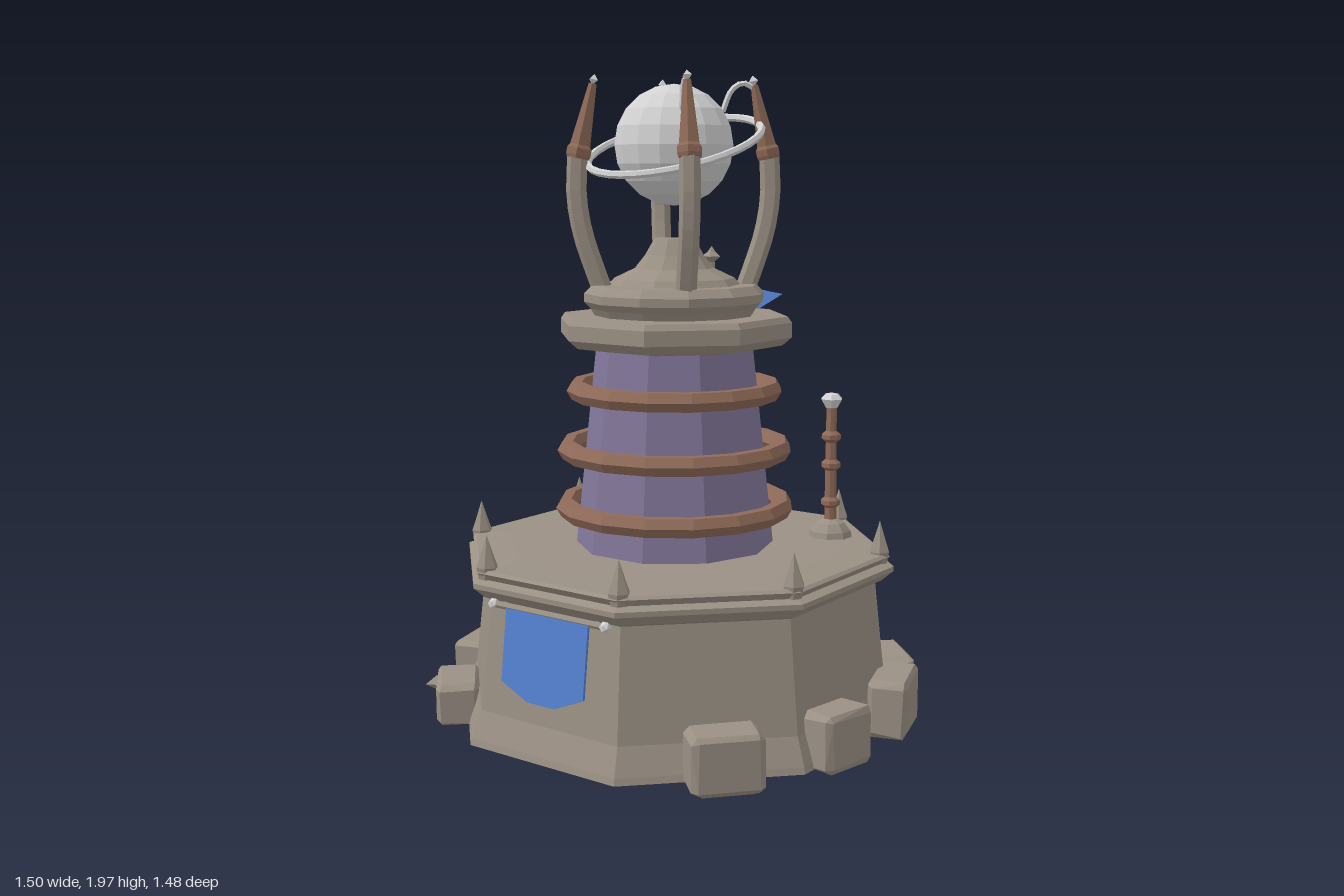
import * as THREE from 'three';
import { ConvexGeometry } from 'three/addons/geometries/ConvexGeometry.js';

const CX = 0.02, CZ = 0.09; // tower axis
const mat = (name, color, side = THREE.FrontSide) =>
  Object.assign(new THREE.MeshStandardMaterial({ color, side, flatShading: true }), { name });

export function createModel() {
  const stone = mat('stone', 0x9a9084, THREE.DoubleSide);
  const purple = mat('purple wall', 0x82779a);
  const copper = mat('copper', 0x8f6a58);
  const silver = mat('silver', 0xd2d2d2);
  const cloth = mat('blue cloth', 0x5580d0, THREE.DoubleSide);
  const root = new THREE.Group();
  root.name = 'orbTower';
  const tower = new THREE.Group();
  tower.name = 'tower';
  tower.position.set(CX, 0, CZ);
  root.add(tower);

  const add = (parent, name, geo, material, x = 0, y = 0, z = 0) => {
    const m = new THREE.Mesh(geo, material);
    m.name = name;
    m.position.set(x, y, z);
    parent.add(m);
    return m;
  };
  // Faceted lathe with a flat side facing front; profile radii are flat-to-axis distances
  const lathe = (profile, sides) => new THREE.LatheGeometry(
    profile.map(([r, y]) => new THREE.Vector2(r / Math.cos(Math.PI / sides), y)), sides, Math.PI / sides);
  const tube = (pts, r, sides = 6, segs = 8) => new THREE.TubeGeometry(
    new THREE.CatmullRomCurve3(pts.map(p => new THREE.Vector3(...p))), segs, r, sides);
  let seed = 7;
  const rand = () => (seed = (seed * 16807) % 2147483647) / 2147483647;

  // Hollow octagonal base with flared foot, cornice and deck
  add(tower, 'base', lathe([[0.65, 0.03], [0.645, 0.05], [0.615, 0.13], [0.578, 0.46], [0.6, 0.47], [0.615, 0.485],
    [0.632, 0.5], [0.632, 0.515], [0.605, 0.525], [0.62, 0.545], [0.61, 0.553], [0.5, 0.557], [0, 0.557]], 8), stone);

  // Corner spikes
  for (let i = 0; i < 8; i++) {
    const a = Math.PI / 8 + i * Math.PI / 4;
    add(tower, 'cornerSpike', lathe([[0.022, 0.525], [0.028, 0.56], [0.02, 0.585], [0, 0.655]], 6), stone,
      Math.sin(a) * 0.64, 0, Math.cos(a) * 0.64);
  }

  // Pairs of ribs on the three rear walls
  for (const k of [3, 4, 5]) {
    const wall = new THREE.Group();
    wall.name = 'ribbedWall';
    wall.rotation.y = k * Math.PI / 4;
    for (const t of [-0.13, 0.13])
      add(wall, 'wallRib', new THREE.BoxGeometry(0.045, 0.27, 0.04), stone, t, 0.31, 0.6).rotation.x = -0.11;
    tower.add(wall);
  }

  // Tapered drum, copper hoops and octagonal collar
  add(tower, 'drum', lathe([[0.292, 0.55], [0.226, 1.2]], 10), purple);
  for (const [y, r] of [[0.675, 0.338], [0.855, 0.332], [1.038, 0.302]]) {
    const hoop = add(tower, 'copperHoop', new THREE.TorusGeometry(r, 0.032, 6, 16), copper, 0, y, 0);
    hoop.rotation.x = Math.PI / 2;
  }
  add(tower, 'collar', lathe([[0.22, 1.165], [0.31, 1.18], [0.337, 1.205], [0.337, 1.25], [0.325, 1.268], [0, 1.268]], 8), stone);
  add(tower, 'crownDisc', lathe([[0.235, 1.265], [0.25, 1.29], [0.268, 1.31], [0.268, 1.335], [0.245, 1.36], [0, 1.36]], 12), stone);
  add(tower, 'crownDome', lathe([[0.195, 1.355], [0.175, 1.38], [0.115, 1.41], [0.085, 1.45], [0.058, 1.5], [0, 1.5]], 10), stone);

  // Floating orb with tilted orbit ring
  add(tower, 'orb', new THREE.SphereGeometry(0.182, 16, 10), silver, 0, 1.78, 0);
  const orbit = add(tower, 'orbitRing', new THREE.TorusGeometry(0.268, 0.012, 6, 32), silver, 0, 1.78, 0);
  orbit.rotation.x = Math.PI / 2 + 0.34;

  // Four curved arms with copper horns
  for (const sx of [-1, 1]) for (const sz of [-1, 1]) {
    const arm = new THREE.Group();
    arm.name = 'arm';
    const at = (d, y) => [sx * d, y, sz * d];
    add(arm, 'armStem', tube([at(0.155, 1.34), at(0.178, 1.43), at(0.198, 1.52), at(0.21, 1.63), at(0.207, 1.75)], 0.031), stone);
    const horn = new THREE.Group();
    horn.name = 'horn';
    horn.position.set(...at(0.207, 1.74));
    const dir = new THREE.Vector3(-sx * 0.035, 0.23, -sz * 0.035).normalize();
    horn.quaternion.setFromUnitVectors(new THREE.Vector3(0, 1, 0), dir);
    add(horn, 'hornSleeve', lathe([[0, 0], [0.031, 0], [0.034, 0.01], [0.034, 0.03], [0.028, 0.04], [0.011, 0.225], [0, 0.225]], 6), copper);
    add(horn, 'hornTip', new THREE.OctahedronGeometry(0.017), silver, 0, 0.237, 0);
    arm.add(horn);
    // Contact wires reach the orb from one side only
    if (sx > 0) add(arm, 'contactWire', tube([at(0.178, 1.945), at(0.15, 1.965), at(0.125, 1.945), at(0.105, 1.88)], 0.009, 5), silver);
    tower.add(arm);
  }

  // Two rear pylons
  for (const x of [-0.33, 0.375]) {
    const pylon = new THREE.Group();
    pylon.name = 'pylon';
    pylon.position.set(x, 0, -0.26);
    add(pylon, 'pylonFoot', lathe([[0.065, 0.55], [0.06, 0.575], [0.042, 0.6], [0.02, 0.612], [0, 0.612]], 8), stone);
    add(pylon, 'pylonRod', lathe([[0.018, 0.6], [0.015, 0.97], [0, 0.97]], 8), copper);
    for (const y of [0.665, 0.785, 0.875])
      add(pylon, 'pylonKnuckle', lathe([[0.014, -0.02], [0.028, -0.007], [0.028, 0.007], [0.014, 0.02]], 8), copper, 0, y, 0);
    add(pylon, 'pylonCrystal', lathe([[0, 0.96], [0.018, 0.968], [0.032, 0.995], [0.02, 1.01], [0, 1.015]], 6), silver);
    root.add(pylon);
  }

  // Flagpole with pennant
  const flag = new THREE.Group();
  flag.name = 'flagpole';
  flag.position.set(-0.165, 0, -0.373);
  flag.rotation.y = -0.28;
  add(flag, 'pole', new THREE.CylinderGeometry(0.011, 0.013, 0.85, 8), stone, 0, 0.975, 0);
  add(flag, 'poleFinial', lathe([[0, 1.395], [0.028, 1.42], [0.012, 1.435], [0, 1.455]], 5), stone);
  const pennant = new THREE.Shape();
  pennant.moveTo(0.01, 1.15);
  pennant.quadraticCurveTo(0.14, 1.21, 0.36, 1.315);
  pennant.quadraticCurveTo(0.18, 1.325, 0.01, 1.36);
  add(flag, 'pennant', new THREE.ShapeGeometry(pennant, 6), cloth);
  root.add(flag);

  // Front banner hanging from a rod
  const banner = new THREE.Group();
  banner.name = 'banner';
  banner.position.set(0.023, 0.46, 0.698);
  const cut = new THREE.Shape([[-0.152, 0], [-0.152, -0.215], [-0.05, -0.258], [0.05, -0.258], [0.152, -0.215], [0.152, 0]]
    .map(p => new THREE.Vector2(...p)));
  add(banner, 'bannerCloth', new THREE.ExtrudeGeometry(cut, { depth: 0.008, bevelEnabled: false }), cloth).rotation.x = -0.12;
  add(banner, 'bannerRod', new THREE.CylinderGeometry(0.01, 0.01, 0.41, 6), stone).rotation.z = Math.PI / 2;
  for (const s of [-1, 1]) {
    add(banner, 'rodKnob', new THREE.IcosahedronGeometry(0.018), silver, s * 0.207, 0, 0);
    add(banner, 'rodBracket', new THREE.BoxGeometry(0.015, 0.015, 0.06), stone, s * 0.17, 0, -0.03);
  }
  root.add(banner);

  // Chamfered boulders around the foot: x, z, width, height, depth
  const boulders = [
    [-0.17, -0.57, 0.22, 0.17, 0.12], [0.23, -0.575, 0.22, 0.17, 0.12], [-0.46, -0.375, 0.22, 0.17, 0.13],
    [0.52, -0.38, 0.22, 0.16, 0.13], [-0.64, -0.12, 0.22, 0.16, 0.11], [0.68, -0.13, 0.23, 0.18, 0.12],
    [-0.645, 0.27, 0.2, 0.16, 0.11], [0.69, 0.22, 0.19, 0.17, 0.11], [-0.48, 0.55, 0.23, 0.13, 0.13],
    [0.53, 0.555, 0.21, 0.17, 0.13]];
  for (const [x, z, w, h, d] of boulders) {
    const pts = [];
    for (const sx of [-1, 1]) for (const sy of [-1, 1]) for (const sz of [-1, 1])
      for (let k = 0; k < 3; k++) {
        const f = i => (i === k ? 1 : 0.72 + 0.14 * rand()) / 2;
        pts.push(new THREE.Vector3(sx * w * f(0), sy * h * f(1), sz * d * f(2)));
      }
    const rock = new THREE.Group();
    rock.name = 'boulder';
    rock.position.set(x, 0.02 + h / 2, z);
    rock.rotation.y = Math.atan2(x - CX, z - CZ);
    add(rock, 'boulderStone', new ConvexGeometry(pts), stone);
    add(rock, 'boulderUnderside', new THREE.BoxGeometry(w * 0.7, 0.006, d * 0.7), copper, 0, -h / 2, 0);
    root.add(rock);
  }

  // Loose shards on the ground
  [[0.1, -0.71], [0.5, -0.585], [-0.71, -0.23], [-0.705, 0.42]].forEach(([x, z], i) => {
    const shard = add(root, 'shard', new THREE.OctahedronGeometry(0.035), stone, x, 0.045, z);
    shard.scale.set(i > 1 ? 1.15 : 0.7, 0.7, 1);
    shard.rotation.y = 0.4 * i;
  });
  return root;
}
